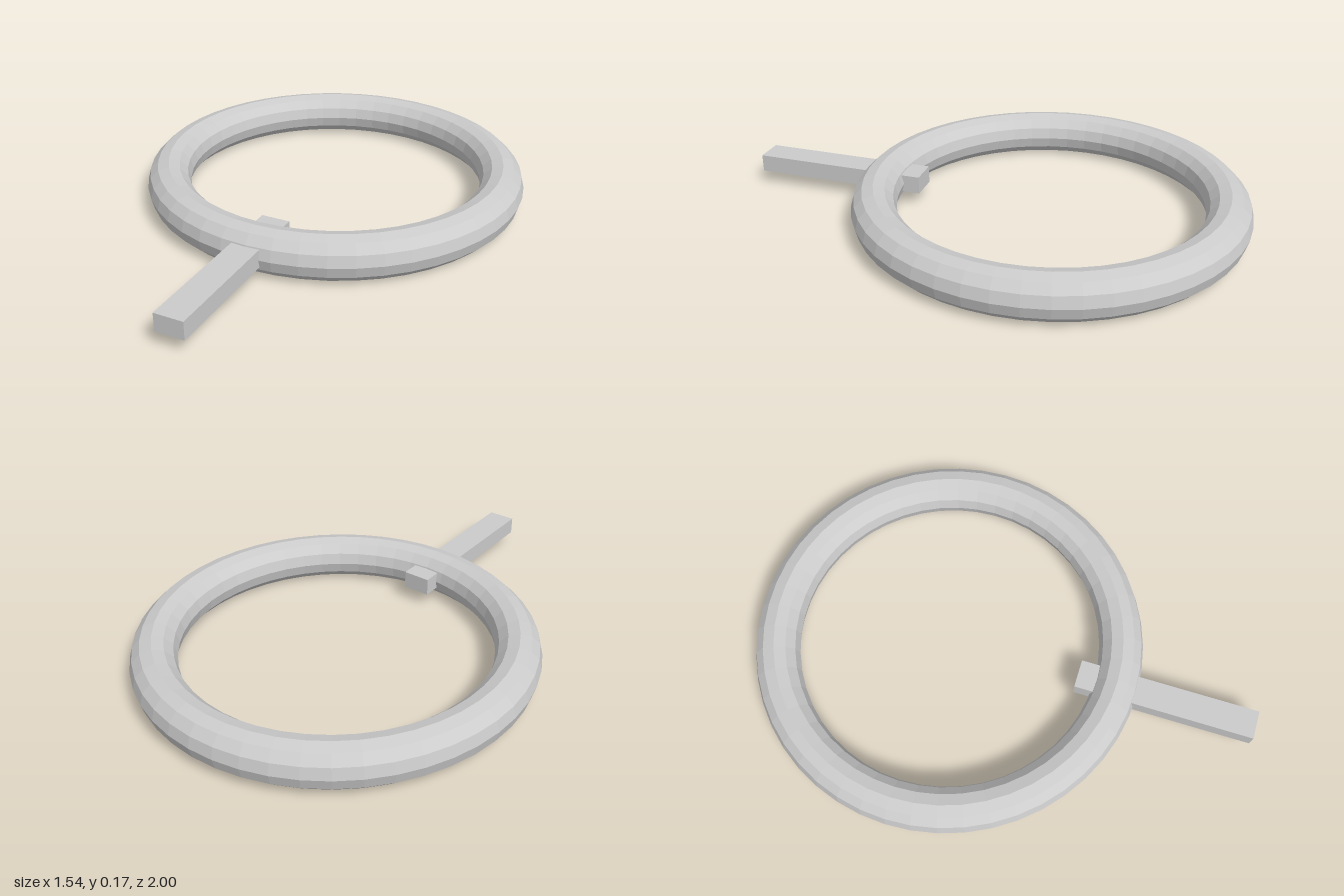
import * as THREE from 'three';

export function createModel() {
  const group = new THREE.Group();
  const material = new THREE.MeshStandardMaterial({ color: 0xcccccc, flatShading: true });
  const tube = 0.087;

  // Faceted ring lying flat
  const ring = new THREE.Mesh(new THREE.TorusGeometry(0.681, tube, 12, 48), material);
  ring.name = 'ring';
  ring.rotation.x = -Math.PI / 2;
  ring.position.set(0, tube, -0.232);
  group.add(ring);

  // Square bar passing through the front of the ring
  const back = 0.295, front = 1;
  const bar = new THREE.Mesh(new THREE.BoxGeometry(0.112, 0.07, front - back), material);
  bar.name = 'crossBar';
  bar.position.set(0, 0.09, (front + back) / 2);
  group.add(bar);

  return group;
}
